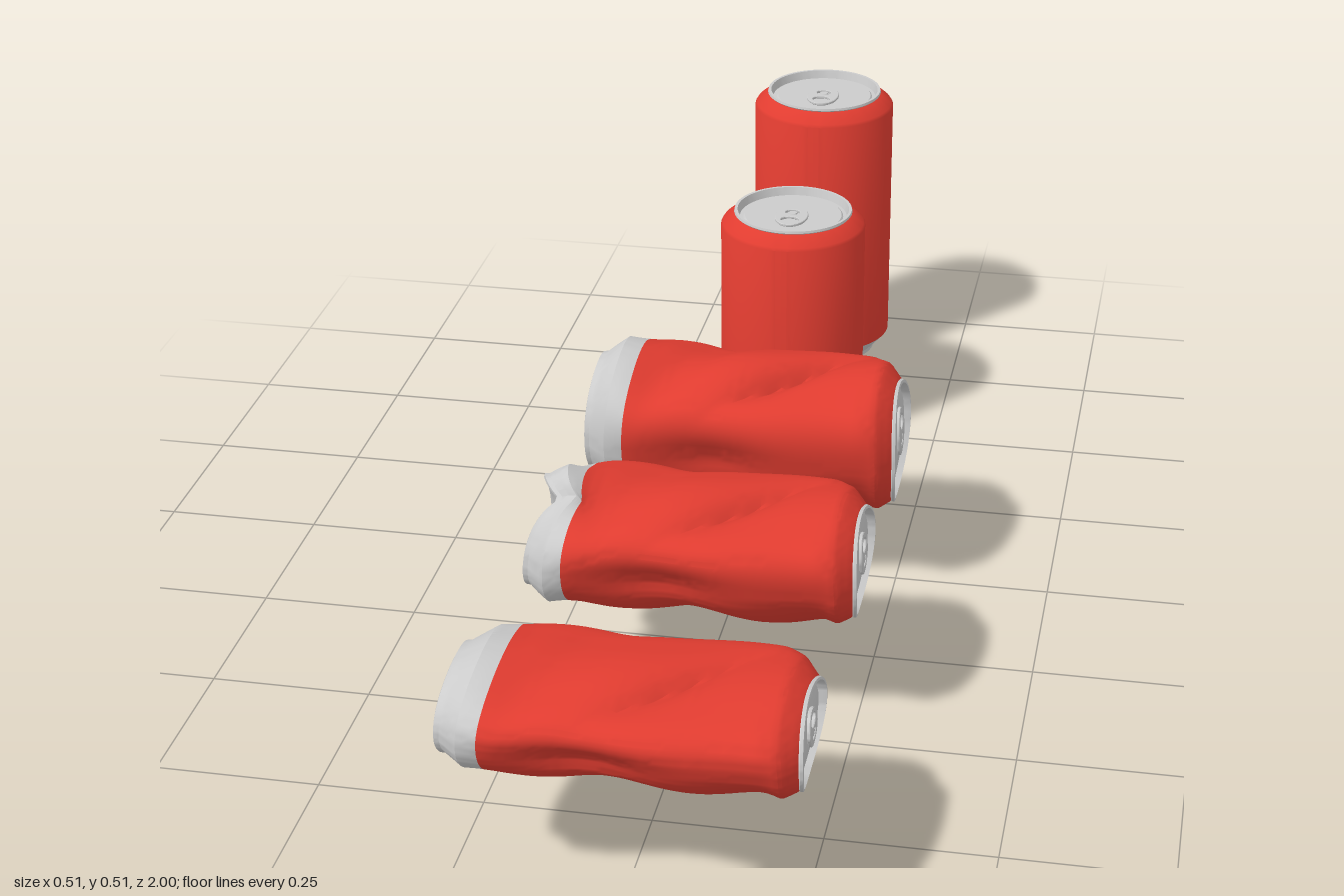
import * as THREE from 'three';
import { mergeVertices, toCreasedNormals } from 'three/addons/utils/BufferGeometryUtils.js';

const RED = 0xe03c30, GREY = 0xcccccc;
const R = 0.127, TALL = 0.515, SHORT = 0.418;

// Radius of the crushed cross-section every 30 degrees, from the back-front axis upwards
const OUTLINE = [0.127, 0.145, 0.13, 0.126, 0.131, 0.151, 0.132, 0.112, 0.115, 0.131, 0.121, 0.118];

function outlineRadius(angle) {
  const t = ((angle / (Math.PI / 6)) % 12 + 12) % 12;
  const i = Math.floor(t), f = t - i;
  const [a, b, c, d] = [-1, 0, 1, 2].map((k) => OUTLINE[(i + k + 12) % 12]);
  return b + 0.5 * f * (c - a + f * (2 * a - 5 * b + 4 * c - d + f * (3 * (b - c) + d - a)));
}

const bell = (v, w) => Math.exp(-(v / w) * (v / w));

// Lays a can along x (lid at +x), squashes it and folds its wall
function crush(flat, wide, foldedBase) {
  return (p) => {
    const rho = Math.hypot(p.x, p.z), angle = Math.atan2(p.z, p.x), h = p.y;
    const w = THREE.MathUtils.smoothstep(h, -0.03, 0.11) * THREE.MathUtils.smoothstep(TALL - h, -0.01, 0.06);
    const k = rho * THREE.MathUtils.lerp(0.97, outlineRadius(angle) / R, w);
    let x = h - TALL / 2, z = k * Math.cos(angle), y = k * Math.sin(angle);
    const top = Math.max(0, Math.sin(angle)) * w * rho / R;
    const under = Math.max(0, -Math.sin(angle)) * w * rho / R;
    const front = Math.max(0, Math.cos(angle)) * w * rho / R;

    // diagonal fold across the top, steep on one side
    const d = (x - 0.07) * 0.65 + (z - 0.015) * 0.76;
    const s = (x - 0.07) * 0.76 - (z - 0.015) * 0.65;
    y -= top * 0.042 * Math.exp(-Math.abs(d) / (d < 0 ? 0.018 : 0.045)) * bell(s, 0.13);
    // shallow hollows on the top, front and underside
    y -= top * 0.018 * bell(x + 0.1 + z * 0.5, 0.05);
    z -= front * 0.02 * bell(x + 0.04, 0.09) * bell(y + 0.01, 0.04);
    y += under * 0.01 * (1 + Math.sin(28 * x + 22 * z));
    z += w * rho / R * 0.004 * Math.sin(24 * x + 9 * y);

    // ends bow outwards; one can has its base folded in
    x *= 1 - 4.5 * y * y - 1.5 * z * z;
    const base = 1 - THREE.MathUtils.smoothstep(h, 0.01, 0.1);
    y += base * 0.012 * Math.max(0, y / 0.1);
    if (foldedBase) {
      x += base * 0.045 * Math.exp(-Math.abs(z - 0.5 * y) / 0.035);
      y += base * 0.022 * Math.sin(30 * z + 1);
    }
    p.set(x, y * flat, z * wide);
  };
}

// Subdivides a profile so that it can bend
function refine(points, step) {
  const out = [];
  points.forEach(([r, y], i) => {
    if (i) {
      const [r0, y0] = points[i - 1];
      const n = Math.max(1, Math.round(Math.hypot(r - r0, y - y0) / step));
      for (let j = 1; j <= n; j++) out.push(new THREE.Vector2(r0 + (r - r0) * j / n, y0 + (y - y0) * j / n));
    } else out.push(new THREE.Vector2(r, y));
  });
  return out;
}

function part(name, geometry, color, warp) {
  geometry.deleteAttribute('normal');
  geometry.deleteAttribute('uv');
  let g = geometry;
  if (warp) {
    const pos = g.attributes.position, p = new THREE.Vector3();
    for (let i = 0; i < pos.count; i++) {
      p.fromBufferAttribute(pos, i);
      warp(p);
      pos.setXYZ(i, p.x, p.y, p.z);
    }
  }
  g = toCreasedNormals(mergeVertices(g, 1e-5), 0.55);
  const mesh = new THREE.Mesh(g, new THREE.MeshStandardMaterial({ color, side: THREE.DoubleSide }));
  mesh.name = name;
  return mesh;
}

function makeCan(name, H, warp) {
  const can = new THREE.Group();
  can.name = name;
  const step = warp ? 0.009 : 0.5;
  const lathe = (pts) => new THREE.LatheGeometry(refine(pts, step), 80);
  const collar = warp ? 0.068 : 0.038;

  // domed base with its tapered collar
  const base = [[0, 0.024], [0.04, 0.021], [0.07, 0.014], [0.087, 0.004], [0.094, 0], [0.1, 0.001], [0.101, 0.009], [R, 0.038]];
  if (warp) base.push([R, collar]);
  can.add(part('base', lathe(base), GREY, warp));

  // painted wall and shoulder
  can.add(part('body', lathe([[R, collar], [R, H - 0.028], [0.124, H - 0.023], [0.106, H - 0.008], [0.102, H - 0.006]]), RED, warp));

  // rolled rim and sunken lid
  const lidY = H - 0.011;
  can.add(part('lid', lathe([[0.102, H - 0.006], [0.104, H - 0.004], [0.103, H], [0.098, H], [0.094, lidY - 0.003],
    [0.088, lidY - 0.003], [0.085, lidY], [0, lidY]]), GREY, warp));

  // pull tab with finger hole and rivet opening
  const tab = new THREE.Shape().absellipse(0, 0, 0.028, 0.042, 0, Math.PI * 2);
  const hole = (y, rx, ry) => tab.holes.push(new THREE.Path().absellipse(0, y, rx, ry, 0, Math.PI * 2));
  hole(-0.019, 0.017, 0.014);
  hole(0.014, 0.014, 0.012);
  const tabGeo = new THREE.ExtrudeGeometry(tab, { depth: 0.003, bevelEnabled: true, bevelSize: 0.001, bevelThickness: 0.001, bevelSegments: 1, curveSegments: 16 });
  tabGeo.rotateX(-Math.PI / 2).translate(0, lidY + 0.002, 0.018);
  can.add(part('pullTab', tabGeo, GREY, warp));
  const rivet = new THREE.CylinderGeometry(0.007, 0.009, 0.005, 20).translate(0, lidY + 0.0025, 0.004);
  can.add(part('rivet', rivet, GREY, warp));
  return can;
}

export function createModel() {
  const model = new THREE.Group();
  model.name = 'cans';
  const place = (can, x, y, z) => {
    can.position.set(x, y, z);
    model.add(can);
  };
  // upright cans
  place(makeCan('tallCan', TALL), -0.0145, 0, -0.873);
  place(makeCan('shortCan', SHORT), -0.0145, 0, -0.533);
  // crushed cans, flatter towards the front
  place(makeCan('dentedCan', TALL, crush(1, 0.97, false)), 0, 0.245, -0.02);
  place(makeCan('foldedCan', TALL, crush(0.79, 0.99, true)), 0, 0.253, 0.392);
  place(makeCan('flattenedCan', TALL, crush(0.65, 1.03, false)), 0, 0.25, 0.863);
  return model;
}
